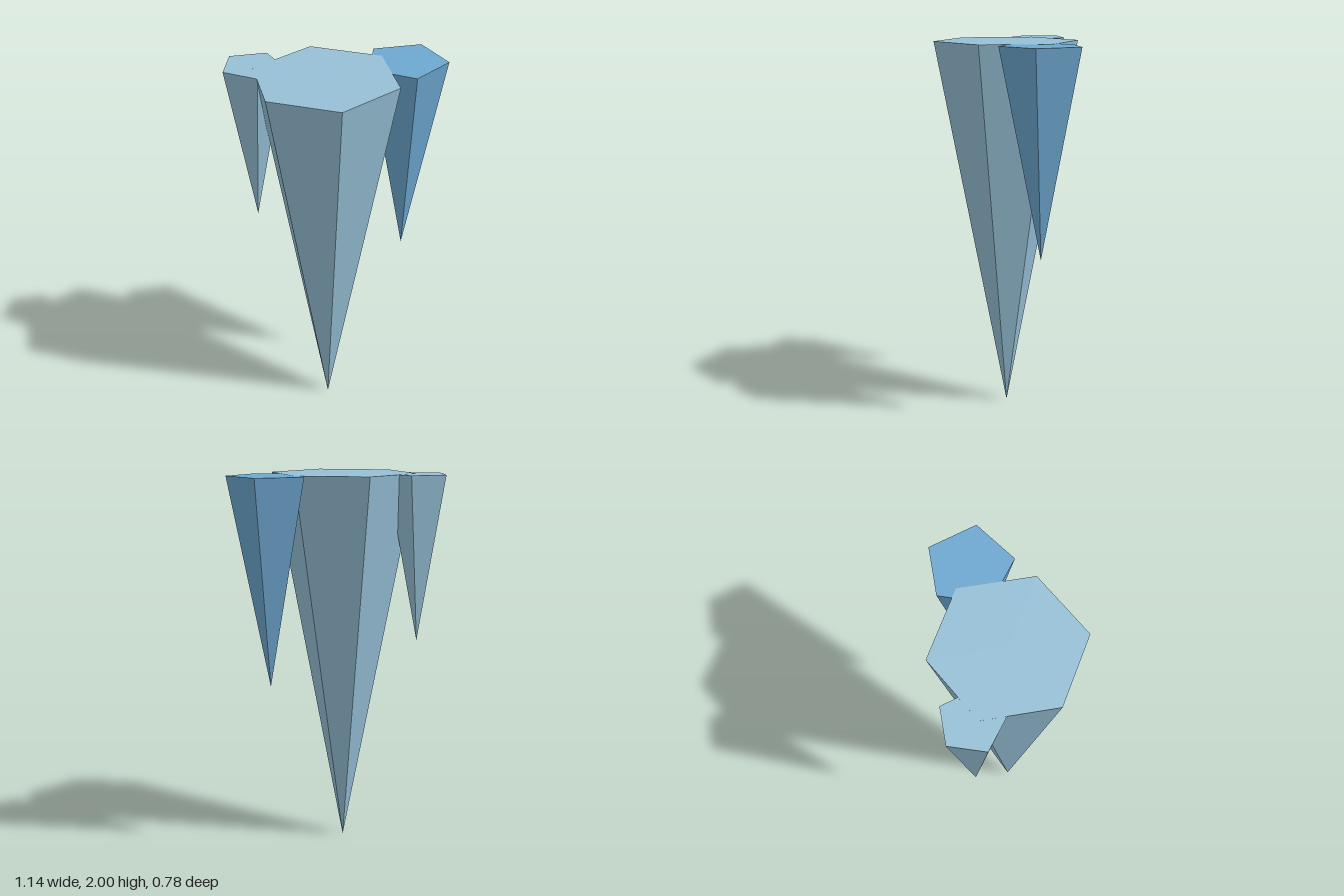
import * as THREE from 'three';

export function createModel() {
  const group = new THREE.Group();
  group.name = 'icicleCluster';

  const paleIce = new THREE.MeshStandardMaterial({ color: 0x96c0d6, flatShading: true });
  paleIce.name = 'paleIce';
  const blueIce = new THREE.MeshStandardMaterial({ color: 0x6ea8d0, flatShading: true });
  blueIce.name = 'blueIce';

  // A faceted spike hanging point-down from its flat top, one corner facing +z
  function addIcicle(name, material, sides, radius, x, z, top, tip) {
    const height = top - tip;
    const geometry = new THREE.CylinderGeometry(radius, 0, height, sides, 1);
    const mesh = new THREE.Mesh(geometry, material);
    mesh.name = name;
    mesh.position.set(x, tip + height / 2, z);
    group.add(mesh);
  }

  // Side tops sit a hair lower so the overlapping caps do not flicker
  addIcicle('mainIcicle', paleIce, 6, 0.388, -0.084, 0, 2, 0);
  addIcicle('leftIcicle', blueIce, 5, 0.22, 0.36, -0.112, 1.999, 0.9);
  addIcicle('rightIcicle', paleIce, 5, 0.165, -0.417, -0.226, 1.999, 1.12);

  return group;
}
